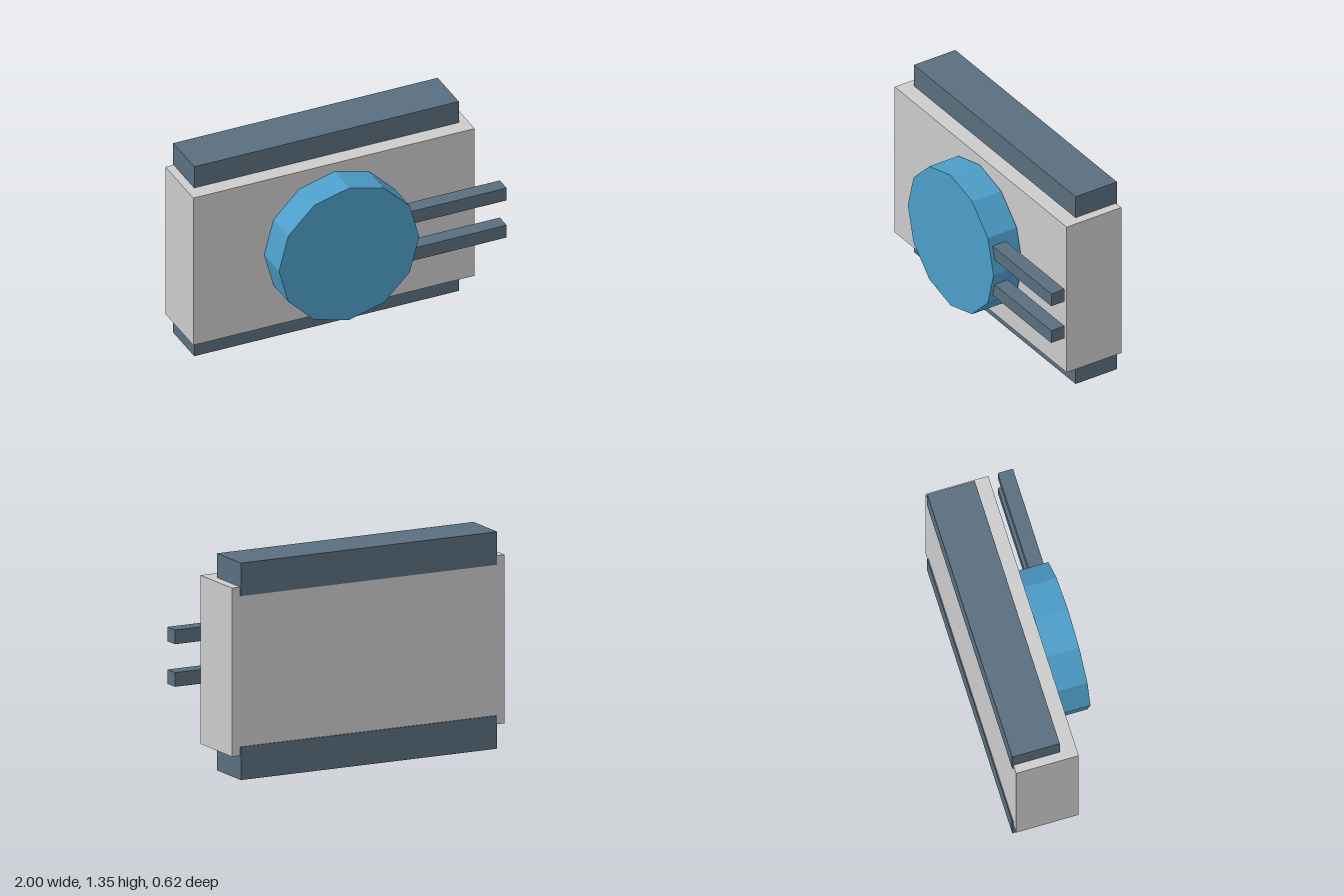
import * as THREE from 'three';

const grey = new THREE.MeshStandardMaterial({ color: 0xcccccc, flatShading: true });
const slate = new THREE.MeshStandardMaterial({ color: 0x5a6e7e, flatShading: true });
const blue = new THREE.MeshStandardMaterial({ color: 0x4c9dc8, flatShading: true });

// Box given by its minimum and maximum corners
function box(name, min, max, material) {
  const size = max.map((v, i) => v - min[i]);
  const mesh = new THREE.Mesh(new THREE.BoxGeometry(...size), material);
  mesh.position.set(...max.map((v, i) => (v + min[i]) / 2));
  mesh.name = name;
  return mesh;
}

export function createModel() {
  const model = new THREE.Group();
  model.name = 'model';

  // Main block
  model.add(box('body', [-1, 0.15, -0.303], [0.878, 1.195, 0.093], grey));

  // Rails along the top and bottom, standing slightly proud of the back
  for (const [name, y] of [['bottomRail', 0], ['topRail', 1.14]]) {
    model.add(box(name, [-0.945, y, -0.31], [0.82, y + 0.205, -0.01], slate));
  }

  // Twelve-sided dial on the front
  const dial = new THREE.Mesh(new THREE.CylinderGeometry(0.468, 0.468, 0.21, 12), blue);
  dial.rotation.x = Math.PI / 2;
  dial.position.set(-0.062, 0.673, 0.205);
  dial.name = 'dial';
  model.add(dial);

  // Two prongs reaching sideways out of the dial
  for (const [name, y] of [['lowerProng', 0.541], ['upperProng', 0.805]]) {
    model.add(box(name, [0.3, y - 0.044, 0.19], [1, y + 0.044, 0.286], slate));
  }
  return model;
}
